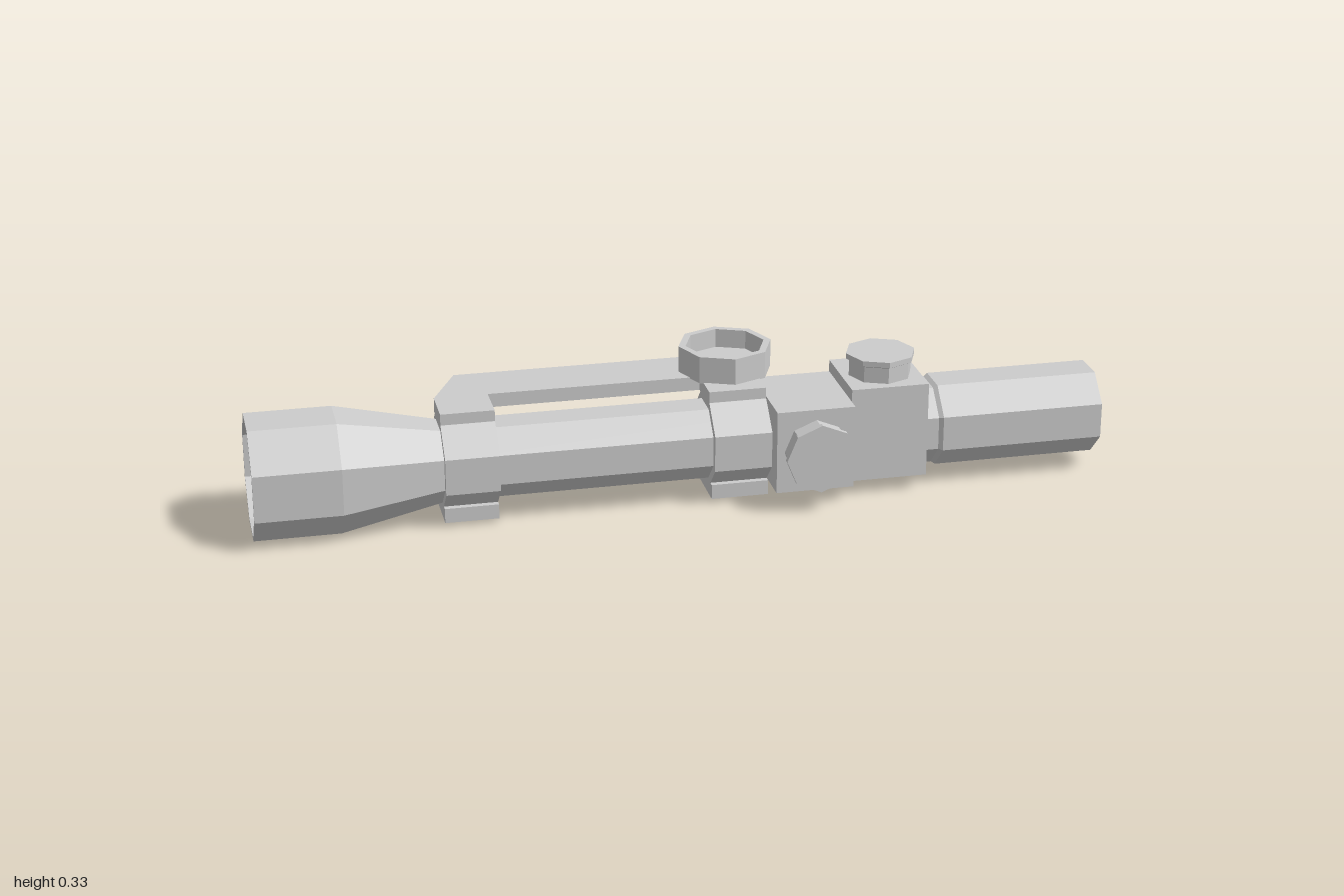
import * as THREE from 'three';

const CY = 0.1365, CZ = 0.014; // optical axis height and depth
const material = new THREE.MeshStandardMaterial({ color: 0xcccccc, flatShading: true });

function add(group, name, geometry) {
  const mesh = new THREE.Mesh(geometry, material);
  mesh.name = name;
  group.add(mesh);
  return mesh;
}

// Eight-sided tube along x; profile holds [x, distance from axis to flat side]
function octagonTube(profile) {
  const k = 1 / Math.cos(Math.PI / 8);
  const points = profile.map(([x, a]) => new THREE.Vector2(a * k, x));
  return new THREE.LatheGeometry(points, 8, Math.PI / 8)
    .rotateZ(-Math.PI / 2)
    .translate(0, CY, CZ);
}

// Eight-sided turned part along y; profile holds [radius, height]
function octagonTurned(profile) {
  return new THREE.LatheGeometry(profile.map(([r, y]) => new THREE.Vector2(r, y)), 8);
}

// Box around the tube, with an octagonal bore along x
function boredBlock(x0, x1, y0, y1, z0, z1) {
  const shape = new THREE.Shape([[-z1, y0], [-z0, y0], [-z0, y1], [-z1, y1]]
    .map(([x, y]) => new THREE.Vector2(x, y)));
  const r = 0.084 / Math.cos(Math.PI / 8);
  const bore = [];
  for (let i = 0; i < 8; i++) {
    const t = (i + 0.5) * Math.PI / 4;
    bore.push(new THREE.Vector2(-CZ + r * Math.cos(t), CY + r * Math.sin(t)));
  }
  shape.holes.push(new THREE.Path(bore));
  return new THREE.ExtrudeGeometry(shape, { depth: x1 - x0, bevelEnabled: false })
    .rotateY(Math.PI / 2)
    .translate(x0, 0, 0);
}

export function createModel() {
  const model = new THREE.Group();
  model.name = 'telescopicSight';

  // Hollow body: flared front bell, slim main tube, wider eyepiece
  add(model, 'bodyTube', octagonTube([
    [-1, 0.126], [-1, 0.1345], [-0.8, 0.1345], [-0.55, 0.086], [0.59, 0.086],
    [0.61, 0.1], [1, 0.1], [1, 0.0825], [0.6, 0.0815],
    [-0.55, 0.0815], [-0.8, 0.126], [-1, 0.126],
  ]));
  add(model, 'eyepieceCollar', octagonTube([
    [0.56, 0.084], [0.56, 0.094], [0.6, 0.094], [0.6, 0.084],
  ]));

  // Two mounting rings with feet
  for (const [name, x0, x1] of [['front', -0.565, -0.44], ['rear', 0.06, 0.195]]) {
    add(model, name + 'Ring', octagonTube([
      [x0, 0.084], [x0, 0.104], [x1, 0.104], [x1, 0.084], [x0, 0.084],
    ]));
    add(model, name + 'Foot', new THREE.BoxGeometry(x1 - x0, 0.035, 0.14))
      .position.set((x0 + x1) / 2, 0.0285, 0.015);
  }

  // Flat offset arm bridging both rings
  const outline = [
    [-0.565, 0.056], [-0.565, -0.045], [-0.5, -0.18], [0.13, -0.18], [0.195, -0.05],
    [0.195, 0.056], [0.06, 0.056], [0.06, -0.045], [-0.44, -0.045], [-0.44, 0.056],
  ];
  const arm = new THREE.Shape(outline.map(([x, z]) => new THREE.Vector2(x, -z)));
  add(model, 'offsetArm', new THREE.ExtrudeGeometry(arm, { depth: 0.033, bevelEnabled: false })
    .rotateX(-Math.PI / 2)
    .translate(0, 0.234, 0));

  // Open-topped wheel on the arm
  add(model, 'rimmedWheel', octagonTurned([
    [0, 0], [0.111, 0], [0.111, 0.065], [0.094, 0.065], [0.094, 0.02], [0, 0.02],
  ])).position.set(0.13, 0.265, -0.088);

  // Turret blocks
  add(model, 'sideTurretBlock', boredBlock(0.2, 0.385, 0.038, 0.238, -0.085, 0.145));
  add(model, 'topTurretBlock', boredBlock(0.385, 0.57, 0.038, 0.267, -0.085, 0.115));

  // Adjustment knobs
  const knob = octagonTurned([
    [0, 0], [0.075, 0], [0.075, 0.038], [0.083, 0.042], [0.083, 0.055], [0, 0.055],
  ]);
  add(model, 'topKnob', knob).position.set(0.478, 0.267, 0.02);
  const sideKnob = add(model, 'sideKnob', knob);
  sideKnob.position.set(0.293, 0.138, 0.145);
  sideKnob.rotation.x = Math.PI / 2;

  return model;
}
